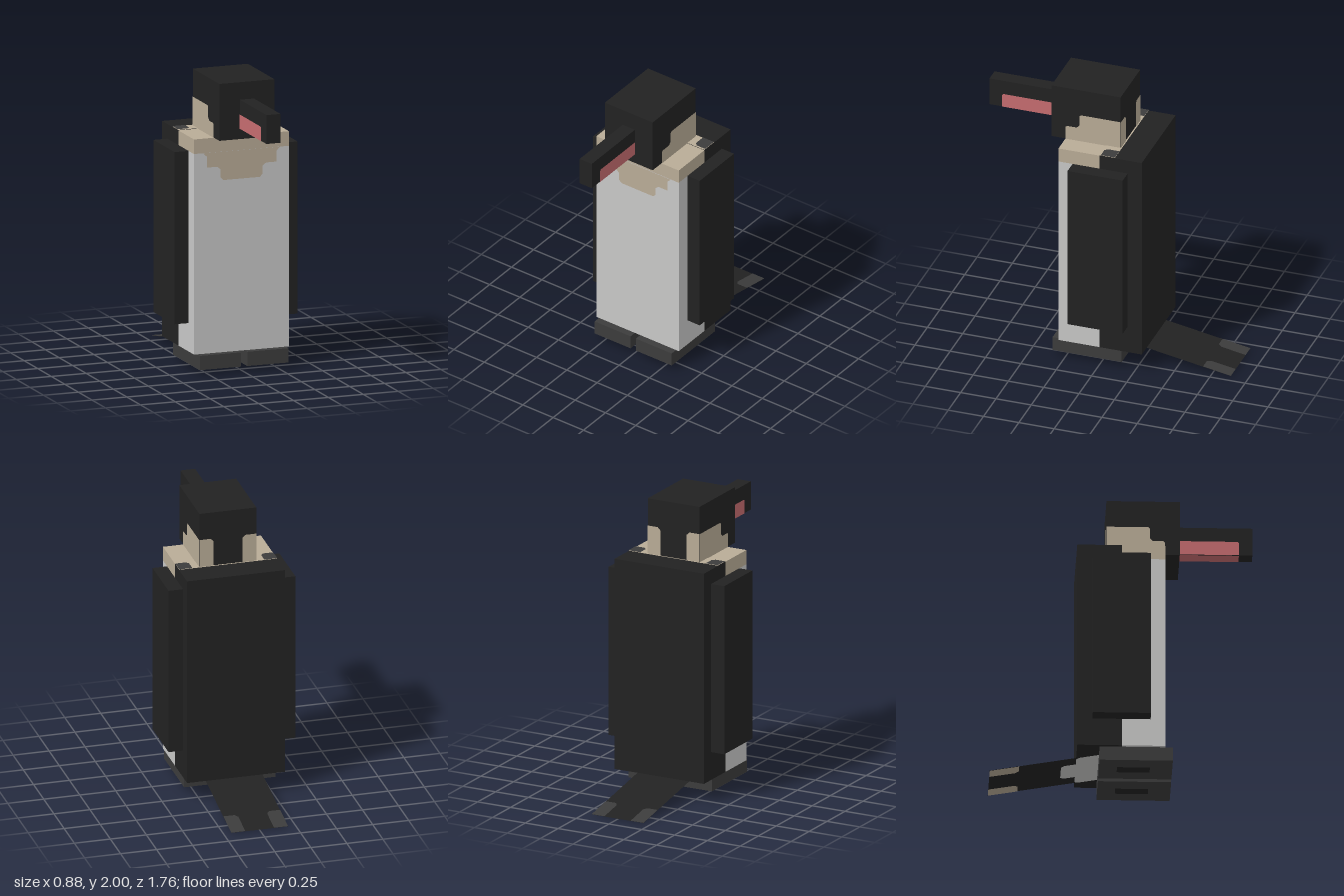
import * as THREE from 'three';

const paint = (name, color) => {
  const m = new THREE.MeshStandardMaterial({ color });
  m.name = name;
  return m;
};

export function createModel() {
  const black = paint('black', 0x222222);
  const grey = paint('dark grey', 0x3c3c3c);
  const white = paint('belly white', 0xc8c8c7);
  const beige = paint('beige', 0xb9ac97);
  const pink = paint('beak pink', 0xc66c70);

  const model = new THREE.Group();
  model.name = 'bird';

  // Box given by its extents on each axis
  const box = (name, mat, [x0, x1], [y0, y1], [z0, z1], parent = model) => {
    const mesh = new THREE.Mesh(new THREE.BoxGeometry(x1 - x0, y1 - y0, z1 - z0), mat);
    mesh.position.set((x0 + x1) / 2, (y0 + y1) / 2, (z0 + z1) / 2);
    mesh.name = name;
    parent.add(mesh);
  };

  // Flat marking: points are (x,y) on front/back, (z,y) on sides, (x,z) on top/bottom
  const faces = {
    front: { u: 1, v: 1, turn: (g) => g, axis: [0, 0, 1] },
    back: { u: -1, v: 1, turn: (g) => g.rotateY(Math.PI), axis: [0, 0, 1] },
    left: { u: -1, v: 1, turn: (g) => g.rotateY(Math.PI / 2), axis: [1, 0, 0] },
    right: { u: 1, v: 1, turn: (g) => g.rotateY(-Math.PI / 2), axis: [1, 0, 0] },
    top: { u: 1, v: -1, turn: (g) => g.rotateX(-Math.PI / 2), axis: [0, 1, 0] },
    bottom: { u: 1, v: 1, turn: (g) => g.rotateX(Math.PI / 2), axis: [0, 1, 0] },
  };
  const marking = (name, mat, face, at, pts, parent = model) => {
    const f = faces[face];
    const shape = new THREE.Shape(pts.map(([a, b]) => new THREE.Vector2(a * f.u, b * f.v)));
    const geo = f.turn(new THREE.ShapeGeometry(shape));
    geo.translate(...f.axis.map((n) => n * at));
    const mesh = new THREE.Mesh(geo, mat);
    mesh.name = name;
    parent.add(mesh);
  };
  const rect = (a0, a1, b0, b1) => [[a0, b0], [a1, b0], [a1, b1], [a0, b1]];
  const mirrored = (pts) => [...pts, ...pts.map(([x, y]) => [-x, y]).reverse()];
  const sides = [['left', 1], ['right', -1]];
  const E = 0.003;

  // Body: dark back, white belly, beige collar
  box('back', black, [-0.34, 0.34], [0.135, 1.61], [-0.3, 0]);
  box('belly', white, [-0.34, 0.34], [0.135, 1.51], [0, 0.29]);
  box('collar', beige, [-0.34, 0.34], [1.51, 1.61], [0, 0.29]);
  marking('bib', beige, 'front', 0.29 + E, mirrored([
    [0.34, 1.51], [0.275, 1.51], [0.25, 1.485], [0.25, 1.41], [0.175, 1.41],
    [0.15, 1.39], [0.15, 1.335], [0.13, 1.315],
  ]));
  marking('shoulderBand', beige, 'top', 1.61 + E, rect(-0.34, 0.34, -0.11, 0));

  // Head with beige cheeks
  box('head', black, [-0.197, 0.197], [1.61, 2], [-0.1, 0.39]);
  for (const [side, s] of sides) {
    marking(side + 'Cheek', beige, side, s * (0.197 + E), [
      [-0.1, 1.61], [0.29, 1.61], [0.29, 1.7], [0.28, 1.71], [0.21, 1.71],
      [0.19, 1.73], [0.19, 1.8], [0.18, 1.81], [-0.1, 1.81],
    ]);
    marking(side + 'Nape', beige, 'back', -0.1 - E, [
      [s * 0.197, 1.61], [s * 0.1, 1.61], [s * 0.1, 1.79], [s * 0.12, 1.81], [s * 0.197, 1.81],
    ]);
    marking(side + 'ShoulderPatch', grey, 'top', 1.61 + 2 * E, [
      [s * 0.34, -0.11], [s * 0.25, -0.11], [s * 0.25, -0.03], [s * 0.27, -0.01], [s * 0.34, -0.01],
    ]);
    marking(side + 'BeakPatch', pink, side, s * (0.05 + E), [
      [0.39, 1.682], [0.79, 1.682], [0.79, 1.77], [0.78, 1.78], [0.39, 1.78],
    ]);

    // Wings and feet
    box(side + 'Wing', black, [s * 0.39 - 0.05, s * 0.39 + 0.05], [0.33, 1.51], [-0.2, 0.19]);
    box(side + 'Foot', grey, [s * 0.17 - 0.148, s * 0.17 + 0.148], [0.037, 0.135], [-0.15, 0.34]);
    marking(side + 'Sole', black, 'bottom', 0.037 - E, rect(s * 0.17 - 0.04, s * 0.17 + 0.04, -0.03, 0.19));
  }

  // Beak
  box('beak', black, [-0.05, 0.05], [1.682, 1.88], [0.39, 0.88]);
  marking('lowerBeak', pink, 'bottom', 1.682 - E, rect(-0.05, 0.05, 0.39, 0.79));

  // Tail: a thin sheet sloping down to the ground, with its own underside
  const tail = new THREE.Group();
  tail.name = 'tail';
  tail.position.set(0, 0.139, -0.105);
  tail.rotation.x = -Math.PI / 18;
  model.add(tail);
  const L = -0.787;
  marking('tailTop', black, 'top', 0, rect(-0.197, 0.197, L, 0), tail);
  marking('tailUnderside', black, 'bottom', -0.001, rect(-0.197, 0.197, L, 0), tail);
  marking('tailRoot', white, 'bottom', -0.003, mirrored([
    [0.197, 0], [0.197, -0.18], [0.18, -0.2], [0.1, -0.2], [0.1, -0.28], [0.08, -0.3],
  ]), tail);
  for (const [side, s] of sides) {
    const corner = [
      [s * 0.197, L], [s * 0.1, L], [s * 0.1, L + 0.175], [s * 0.12, L + 0.2], [s * 0.197, L + 0.2],
    ];
    marking(side + 'TailCorner', grey, 'top', 0.002, corner, tail);
    marking(side + 'TailCornerUnderside', beige, 'bottom', -0.003, corner, tail);
  }

  return model;
}
